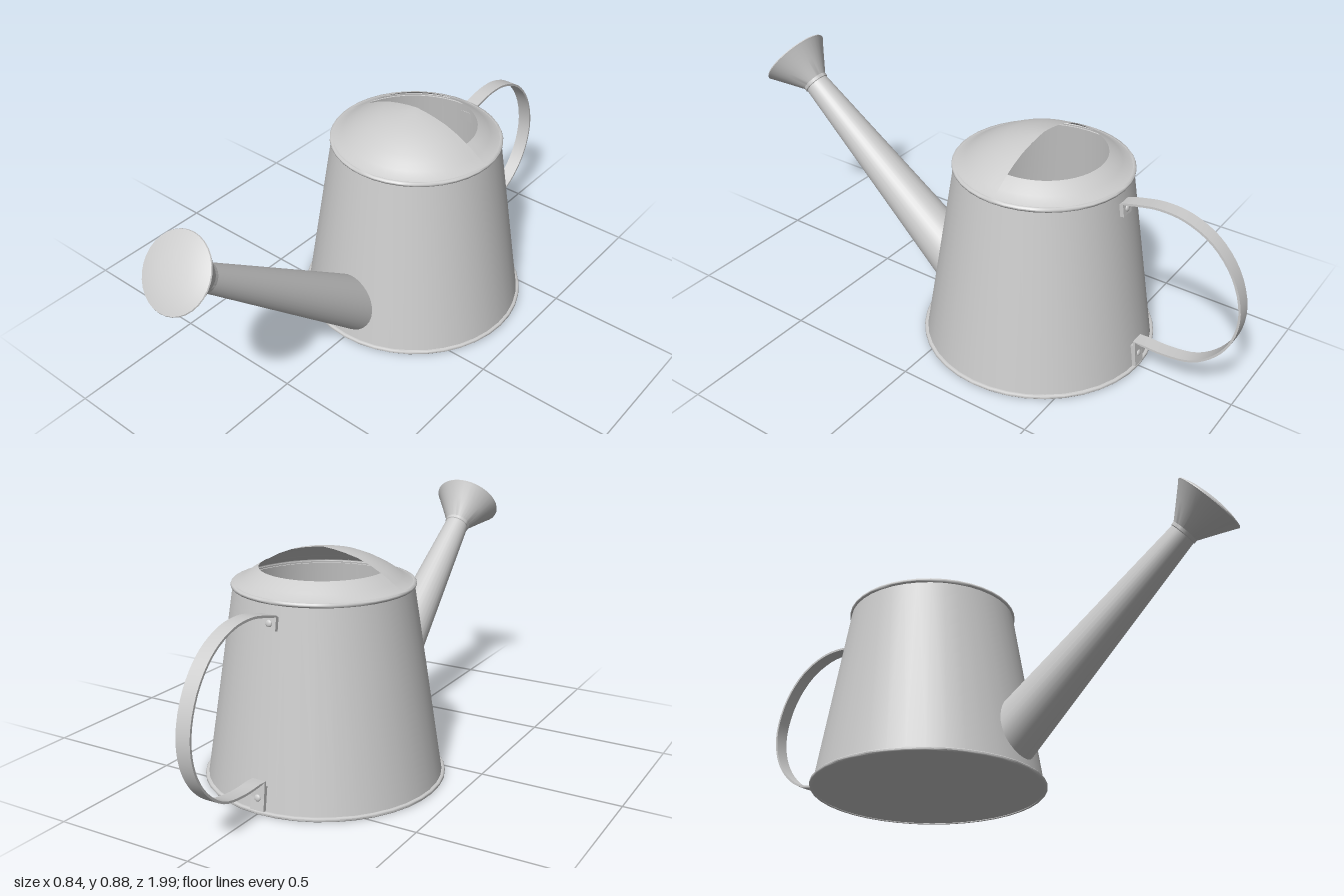
import * as THREE from 'three';
import { toCreasedNormals } from 'three/addons/utils/BufferGeometryUtils.js';

const CZ = -0.23;                                   // body centre along z
const bodyRadius = (y) => 0.41 - 0.155 * y;         // tapered wall
const v2 = (pts) => pts.map(([a, b]) => new THREE.Vector2(a, b));

export function createModel() {
  const model = new THREE.Group();
  const mat = new THREE.MeshStandardMaterial({ color: 0xcccccc, side: THREE.DoubleSide });

  const add = (name, geometry, parent = model) => {
    const mesh = new THREE.Mesh(geometry, mat);
    mesh.name = name;
    parent.add(mesh);
    return mesh;
  };
  const lathe = (pts, seg = 40, start = 0, len = Math.PI * 2, crease = 0.6) =>
    toCreasedNormals(new THREE.LatheGeometry(v2(pts), seg, start, len), crease);

  // Body: tapered wall with closed bottom, plus rolled rims
  const body = new THREE.Group();
  body.name = 'body';
  body.position.z = CZ;
  model.add(body);
  add('wall', lathe([[0, 0.003], [bodyRadius(0), 0.003], [bodyRadius(0.68), 0.68]]), body);
  const rim = (name, y, r, h) =>
    add(name, lathe([
      [r - 0.012, y - h], [r - 0.003, y - h], [r, y - h * 0.4], [r, y + h * 0.4],
      [r - 0.003, y + h], [r - 0.012, y + h],
    ], 40, 0, Math.PI * 2, 1.2), body);
  rim('bottomRim', 0.006, 0.421, 0.006);
  rim('topRim', 0.681, 0.312, 0.007);

  // Lid: shoulder all round, hood over the front half, back half open
  const shoulder = [[0.305, 0.686], [0.288, 0.692], [0.265, 0.707], [0.24, 0.724], [0.218, 0.737]];
  const hood = [[0.218, 0.737], [0.18, 0.757], [0.13, 0.777], [0.08, 0.789], [0.04, 0.796], [0, 0.8]];
  add('lidFront', lathe([...shoulder, ...hood.slice(1)], 24, -Math.PI / 2, Math.PI), body);
  add('lidBack', lathe(shoulder, 24, Math.PI / 2, Math.PI), body);

  // Spout and rose share one tilted axis
  const base = new THREE.Vector3(0, 0.16, 0.16);
  const neck = new THREE.Vector3(0, 0.70, 0.815);
  const axis = neck.clone().sub(base);
  const length = axis.length();
  axis.normalize();
  const tilt = new THREE.Quaternion().setFromUnitVectors(new THREE.Vector3(0, 1, 0), axis);

  // Spout: open cone whose lower ring is slid along its side onto the wall
  const spoutGeo = new THREE.CylinderGeometry(0.046, 0.098, length, 32, 1, true);
  spoutGeo.translate(0, length / 2, 0).applyQuaternion(tilt).translate(base.x, base.y, base.z);
  const pos = spoutGeo.attributes.position;
  const ring = pos.count / 2;
  const top = new THREE.Vector3(), low = new THREE.Vector3(), p = new THREE.Vector3();
  for (let i = 0; i < ring; i++) {
    top.fromBufferAttribute(pos, i);
    low.fromBufferAttribute(pos, i + ring);
    let a = -0.3, b = 0.9;
    for (let k = 0; k < 24; k++) {
      const t = (a + b) / 2;
      p.lerpVectors(low, top, t);
      if (Math.hypot(p.x, p.z - CZ) < bodyRadius(p.y)) a = t; else b = t;
    }
    p.lerpVectors(low, top, a);
    pos.setXYZ(i + ring, p.x, p.y, p.z);
  }
  add('spout', spoutGeo);

  // Rose: flared cup with a gently domed face
  const rose = add('rose', lathe([
    [0.044, -0.012], [0.05, -0.008], [0.05, 0.004], [0.09, 0.064], [0.126, 0.117], [0.13, 0.122],
    [0.128, 0.126], [0.1, 0.134], [0.06, 0.14], [0.03, 0.142], [0, 0.143],
  ], 32));
  rose.position.copy(neck);
  rose.quaternion.copy(tilt);

  // Handle: thin strap following a (z, y) path, with tabs bent along the wall
  const arc = new THREE.CatmullRomCurve3([
    [-0.548, 0.642], [-0.61, 0.657], [-0.68, 0.668], [-0.77, 0.659], [-0.87, 0.61], [-0.95, 0.515],
    [-0.99, 0.39], [-0.978, 0.28], [-0.93, 0.195], [-0.85, 0.132], [-0.75, 0.112], [-0.635, 0.114],
  ].map(([z, y]) => new THREE.Vector3(z, y, 0))).getPoints(44);
  const wallZ = (y) => CZ - bodyRadius(y) - 0.005;
  const path = [
    new THREE.Vector2(wallZ(0.6), 0.6),
    ...arc.map((q) => new THREE.Vector2(q.x, q.y)),
    new THREE.Vector2(wallZ(0.016), 0.016),
  ];
  const side = (d) => path.map((q, i) => {
    const t = path[Math.min(i + 1, path.length - 1)].clone().sub(path[Math.max(i - 1, 0)]).normalize();
    return new THREE.Vector2(q.x - t.y * d, q.y + t.x * d);
  });
  const strap = new THREE.Shape([...side(0.004), ...side(-0.004).reverse()]);
  const width = 0.052;
  const strapGeo = new THREE.ExtrudeGeometry(strap, { depth: width, bevelEnabled: false });
  strapGeo.translate(0, 0, -width / 2).rotateY(-Math.PI / 2);
  add('handle', toCreasedNormals(strapGeo, 0.6));

  // Raised plate and rivet on each handle tab
  const lean = Math.atan(0.155);
  for (const [name, y, h] of [['upper', 0.617, 0.045], ['lower', 0.055, 0.085]]) {
    const tab = new THREE.Group();
    tab.name = name + 'HandleTab';
    tab.position.set(0, y, wallZ(y));
    tab.rotation.x = lean;
    model.add(tab);
    add('plate', new THREE.BoxGeometry(width, h, 0.014), tab);
    const rivet = add('rivet', new THREE.SphereGeometry(0.012, 16, 6, 0, Math.PI * 2, 0, Math.PI / 2), tab);
    rivet.rotation.x = -Math.PI / 2;
    rivet.scale.y = 0.5;
    rivet.position.z = -0.007;
  }

  return model;
}
